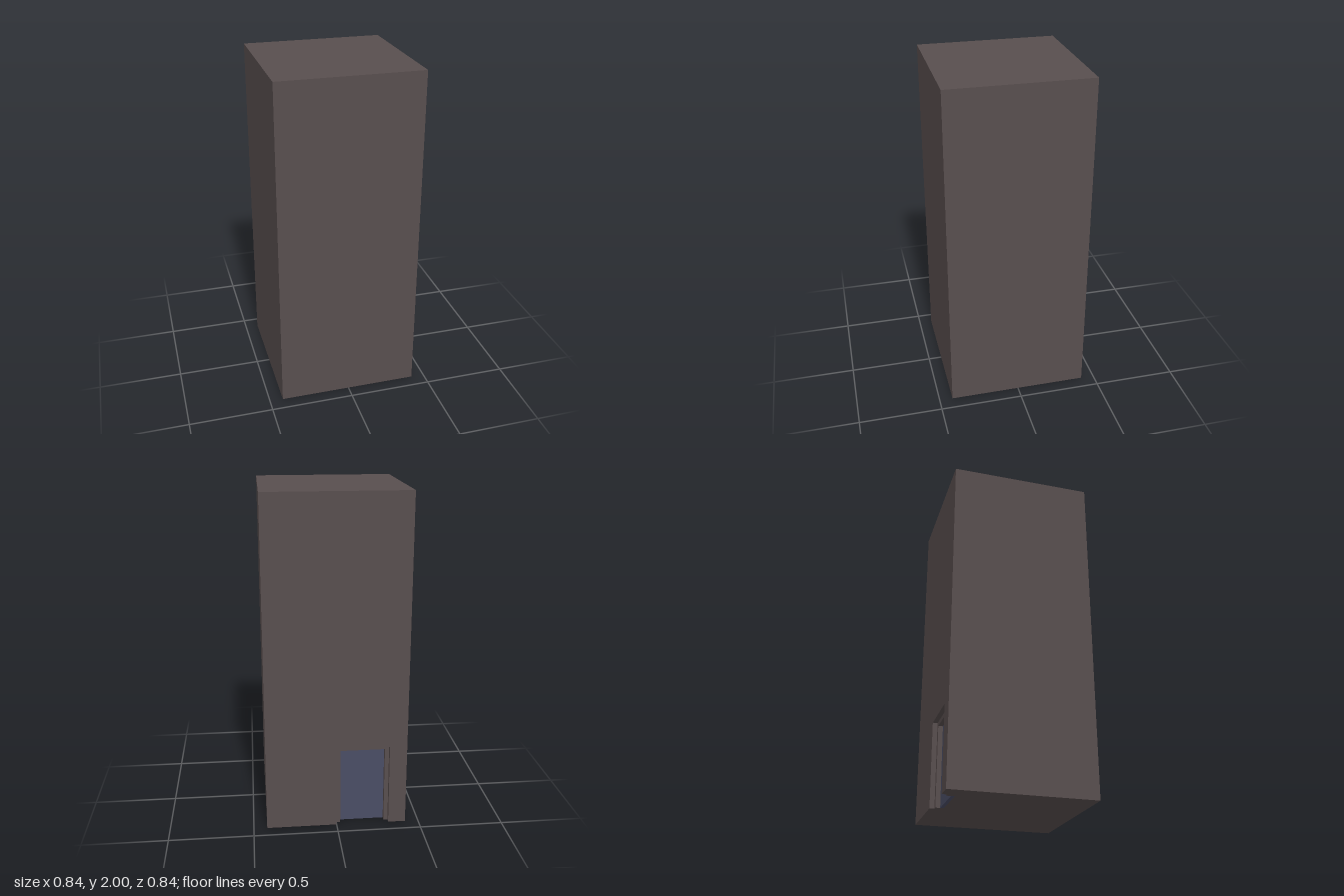
import * as THREE from 'three';

const HALF = 0.42, HEIGHT = 2;
const DOOR_X = -0.158;           // centre of the doorway
const OUTER_W = 0.316, OUTER_H = 0.5, REBATE = 0.025;

const wallMat = new THREE.MeshStandardMaterial({ color: 0x584e4e });
wallMat.name = 'wall brown';
const doorMat = new THREE.MeshStandardMaterial({ color: 0x4a4d65 });
doorMat.name = 'door blue';

// Slab of wall from z0 to z1 with a doorway cut up from its bottom edge
function wallLayer(name, z0, z1, inset) {
  const l = DOOR_X - OUTER_W / 2 + inset, r = DOOR_X + OUTER_W / 2 - inset, t = OUTER_H - inset;
  const shape = new THREE.Shape([
    [-HALF, 0], [l, 0], [l, t], [r, t], [r, 0], [HALF, 0], [HALF, HEIGHT], [-HALF, HEIGHT],
  ].map(([x, y]) => new THREE.Vector2(x, y)));
  const geo = new THREE.ExtrudeGeometry(shape, { depth: z1 - z0, bevelEnabled: false });
  const mesh = new THREE.Mesh(geo, wallMat);
  mesh.position.z = z0;
  mesh.name = name;
  return mesh;
}

function box(name, w, h, x, z0, z1, mat) {
  const mesh = new THREE.Mesh(new THREE.BoxGeometry(w, h, z1 - z0), mat);
  mesh.position.set(x, h / 2, (z0 + z1) / 2);
  mesh.name = name;
  return mesh;
}

export function createModel() {
  const group = new THREE.Group();
  group.name = 'towerBlock';
  const zStep = -0.392, zDoor = -0.365, zCore = -0.345;

  // Solid core with a stepped doorway in the back wall
  group.add(box('towerCore', HALF * 2, HEIGHT, 0, zCore, HALF, wallMat));
  group.add(wallLayer('outerDoorway', -HALF, zStep, 0));
  group.add(wallLayer('innerDoorway', zStep, zCore, REBATE));

  // Recessed door panel
  group.add(box('door', OUTER_W - 2 * REBATE, OUTER_H - REBATE, DOOR_X, zDoor, zCore, doorMat));
  return group;
}
